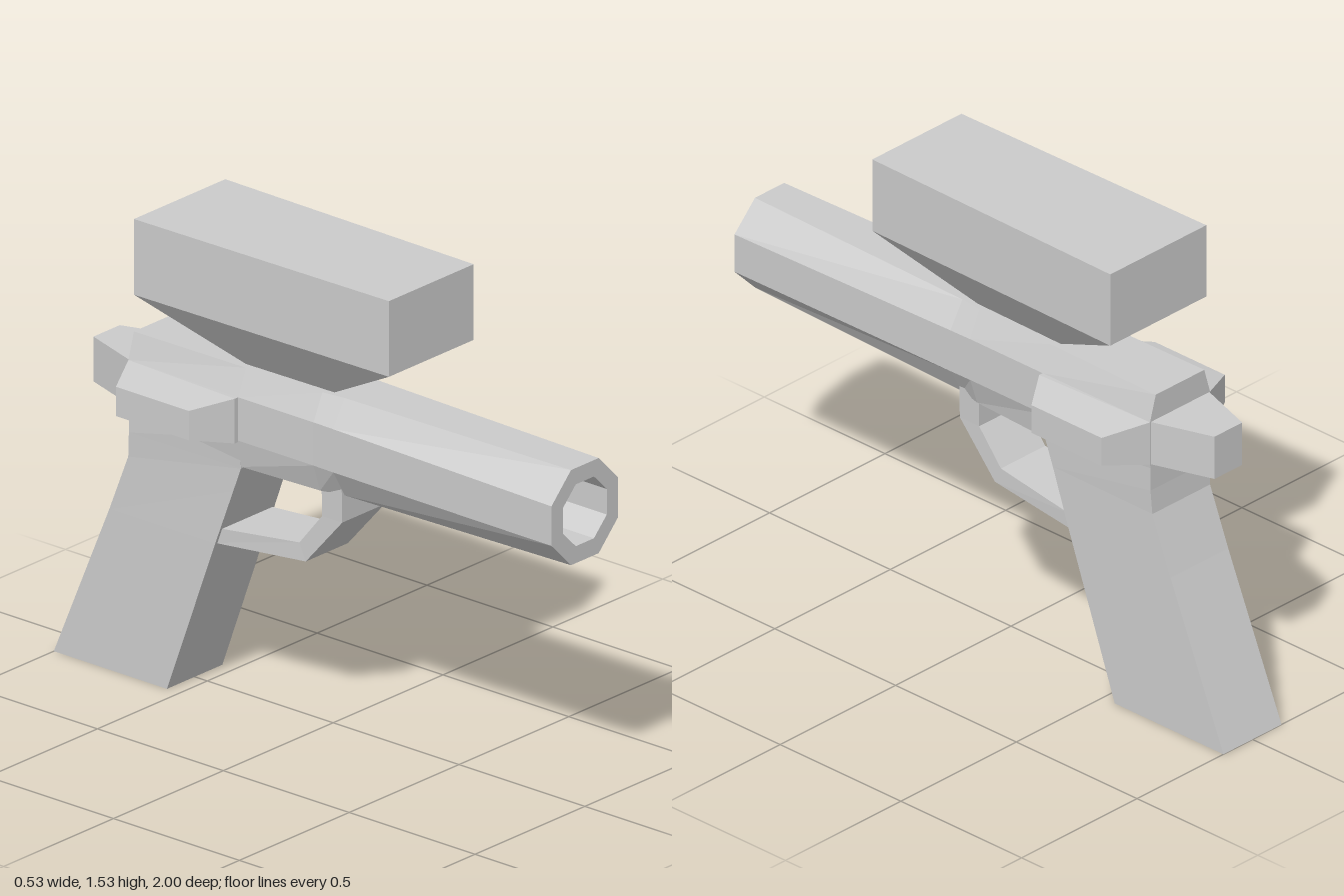
import * as THREE from 'three';

const material = new THREE.MeshStandardMaterial({ color: 0xcccccc, flatShading: true });

// Skin a list of equal-length rings of [x, y, z] points and cap both ends.
function loft(name, rings) {
  const tris = [];
  const n = rings[0].length;
  for (let r = 0; r < rings.length - 1; r++) {
    for (let i = 0; i < n; i++) {
      const j = (i + 1) % n;
      const [a, b, c, d] = [rings[r][i], rings[r][j], rings[r + 1][j], rings[r + 1][i]];
      tris.push([a, b, c], [a, c, d]);
    }
  }
  const last = rings[rings.length - 1];
  for (let i = 1; i < n - 1; i++) {
    tris.push([rings[0][0], rings[0][i + 1], rings[0][i]], [last[0], last[i], last[i + 1]]);
  }
  // A negative enclosed volume means the faces point inwards, so turn them round.
  let volume = 0;
  const [p, q, s] = [new THREE.Vector3(), new THREE.Vector3(), new THREE.Vector3()];
  for (const t of tris) {
    volume += p.fromArray(t[0]).dot(q.fromArray(t[1]).cross(s.fromArray(t[2])));
  }
  if (volume < 0) tris.forEach((t) => t.reverse());

  const geometry = new THREE.BufferGeometry();
  geometry.setAttribute('position', new THREE.Float32BufferAttribute(tris.flat(2), 3));
  geometry.computeVertexNormals();
  const mesh = new THREE.Mesh(geometry, material);
  mesh.name = name;
  return mesh;
}

// Eight-sided section: half widths at top, sides and bottom.
function octagon(z, top, side, bottom, yTop = 1.11, yUpper = 1.025, yLower = 0.885, yBottom = 0.795) {
  return [
    [top, yTop, z], [side, yUpper, z], [side, yLower, z], [bottom, yBottom, z],
    [-bottom, yBottom, z], [-side, yLower, z], [-side, yUpper, z], [-top, yTop, z],
  ];
}

// Regular octagon around the bore axis, r being the distance to its flats.
function boreRing(z, r) {
  const k = r * 0.414, y = 0.955;
  return octagon(z, k, r, k, y + r, y + k, y - k, y - r);
}

// Horizontal rectangle at height y.
function slab(y, zFront, zBack, wFront, wBack = wFront) {
  return [[wFront, y, zFront], [wBack, y, zBack], [-wBack, y, zBack], [-wFront, y, zFront]];
}

// Rectangle facing sideways at x, used by the wings.
function sidePanel(x, zFront, zBack, yLow, yHigh, xBack = x) {
  return [[x, yLow, zFront], [x, yHigh, zFront], [xBack, yHigh, zBack], [xBack, yLow, zBack]];
}

export function createModel() {
  const group = new THREE.Group();
  group.name = 'hopperLauncher';

  // Barrel and receiver in one skin, folded in at the muzzle to form the bore
  group.add(loft('barrelAndReceiver', [
    octagon(-0.7, 0.105, 0.13, 0.12),
    octagon(-0.26, 0.1, 0.135, 0.12),
    octagon(0.04, 0.095, 0.135, 0.105),
    octagon(0.12, 0.085, 0.137, 0.085),
    octagon(1, 0.063, 0.152, 0.063, 1.108, 1.018, 0.89, 0.8),
    boreRing(1, 0.1),
    boreRing(0.4, 0.1),
    boreRing(0.4, 0.026),
    boreRing(0.1, 0.026),
  ]));

  // Tapered block behind the receiver
  const blockRing = (z, w) => [[w, 0.88, z], [w, 1.025, z], [-w, 1.025, z], [-w, 0.88, z]];
  group.add(loft('rearBlock', [blockRing(-0.69, 0.13), blockRing(-0.9, 0.06)]));

  // Side wings
  for (const [name, s] of [['leftWing', 1], ['rightWing', -1]]) {
    group.add(loft(name, [
      sidePanel(s * 0.1, -0.26, -0.7, 0.88, 1.025),
      sidePanel(s * 0.15, -0.26, -0.7, 0.88, 1.025, s * 0.13),
      sidePanel(s * 0.267, -0.34, -0.63, 0.905, 1.0),
    ]));
  }

  // Raked grip
  group.add(loft('grip', [
    slab(0, -0.55, -1, 0.126),
    slab(0.52, -0.36, -0.78, 0.125),
    slab(0.71, -0.29, -0.705, 0.122, 0.125),
    slab(0.79, -0.26, -0.7, 0.122, 0.128),
    slab(0.89, -0.26, -0.7, 0.128),
  ]));

  // Trigger guard: a band following outer and inner [y, z] points
  const guardRing = (w, [yo, zo], [yi, zi]) => [[w, yo, zo], [w, yi, zi], [-w, yi, zi], [-w, yo, zo]];
  group.add(loft('triggerGuard', [
    guardRing(0.1, [0.88, 0.12], [0.88, 0.04]),
    guardRing(0.096, [0.71, 0.12], [0.71, 0.04]),
    guardRing(0.096, [0.545, -0.025], [0.6, -0.05]),
    guardRing(0.115, [0.518, -0.37], [0.57, -0.35]),
  ]));

  // Hopper with its funnel
  group.add(loft('hopper', [
    slab(1.1, 0.05, -0.26, 0.065, 0.07),
    slab(1.285, 0.39, -0.61, 0.193, 0.208),
    slab(1.53, 0.39, -0.61, 0.193, 0.208),
  ]));

  return group;
}
